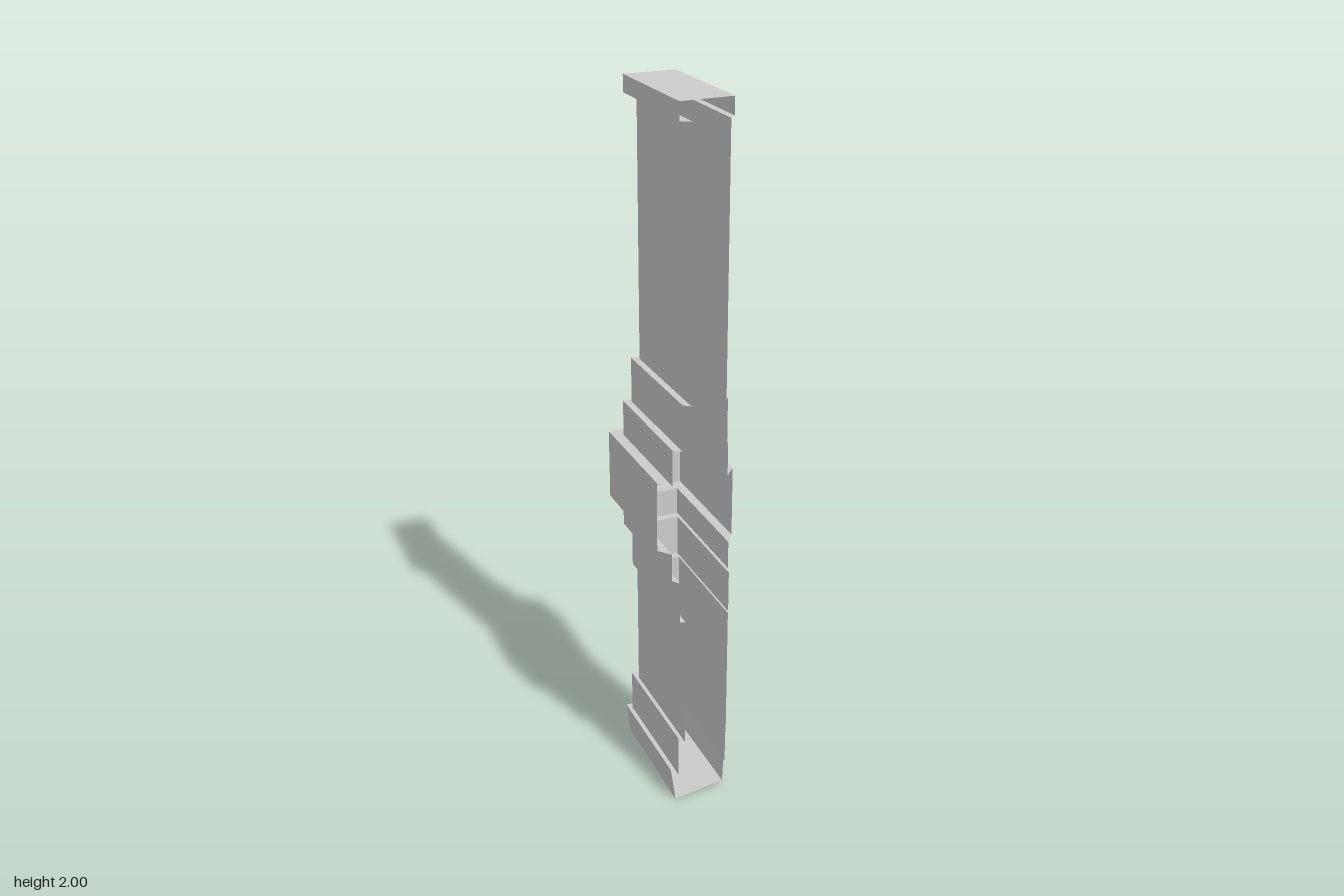
import * as THREE from 'three';

const SLOPE = 0.624; // the long walls run diagonally: dz / dx

const material = new THREE.MeshStandardMaterial({
  color: 0xcccccc, flatShading: true, side: THREE.DoubleSide,
});

// Tiers from top to bottom: name, bottom y, top y,
// x of the left, front right and back right corners,
// z of the front right, back right and back left corners.
const TIERS = [
  ['cap', 1.955, 2, -0.164, 0.133, 0.204, 0.174, 0.051, -0.131],
  ['upperShaft', 1.25, 1.955, -0.13, 0.162, 0.212, 0.161, 0.078, -0.099],
  ['upperOuterStep', 1.122, 1.25, -0.154, 0.141, 0.206, 0.169, 0.062, -0.118],
  ['upperInnerStep', 1.02, 1.122, -0.175, 0.115, 0.197, 0.177, 0.043, -0.141],
  ['middleBand', 0.82, 1.02, -0.222, 0.072, 0.184, 0.185, -0.002, -0.186],
  ['lowerInnerStep', 0.74, 0.82, -0.18, 0.116, 0.2, 0.18, 0.038, -0.144],
  ['lowerOuterStep', 0.62, 0.74, -0.148, 0.141, 0.216, 0.179, 0.058, -0.126],
  ['lowerShaft', 0.225, 0.62, -0.14, 0.153, 0.221, 0.17, 0.067, -0.109],
  ['plinth', 0.1, 0.225, -0.17, 0.128, 0.201, 0.167, 0.038, -0.139],
  ['foot', 0, 0.1, -0.193, 0.1, 0.187, 0.164, 0.021, -0.158],
];

// Corners in order: front right, left, back left, back right.
function ring([, , , ax, dx, cx, dz, cz, bz], y) {
  return [
    [dx, y, dz],
    [ax, y, dz - (dx - ax) * SLOPE],
    [cx - (cz - bz) / SLOPE, y, bz],
    [cx, y, cz],
  ];
}

function quadMesh(name, quads) {
  const points = quads.flatMap(([a, b, c, d]) => [a, b, c, a, c, d]).flat();
  const geometry = new THREE.BufferGeometry();
  geometry.setAttribute('position', new THREE.Float32BufferAttribute(points, 3));
  geometry.computeVertexNormals();
  const mesh = new THREE.Mesh(geometry, material);
  mesh.name = name;
  return mesh;
}

// Three connected faces between two rings; the fourth side stays open.
const strip = (low, high) =>
  [0, 1, 2].map((i) => [low[i], high[i], high[i + 1], low[i + 1]]);

export function createModel() {
  const group = new THREE.Group();
  group.name = 'pilaster';

  // The foot tapers in slightly and its underside rises towards the back.
  const sole = [[0.112, 0, 0.158], [-0.186, 0.002, -0.028],
    [-0.105, 0.01, -0.155], [0.183, 0.01, 0.022]];

  TIERS.forEach((tier, i) => {
    const [name, bottom, top] = tier;
    const low = name === 'foot' ? sole : ring(tier, bottom);
    const high = ring(tier, top);
    group.add(quadMesh(name, strip(low, high)));

    // Ledge joining this tier to the one below
    const next = TIERS[i + 1];
    if (next) group.add(quadMesh(`${name}Ledge`, strip(ring(next, bottom), low)));

    if (i === 0) group.add(quadMesh('topPlate', [[...high].reverse()]));
    if (!next) group.add(quadMesh('bottomPlate', [low]));
  });
  return group;
}
